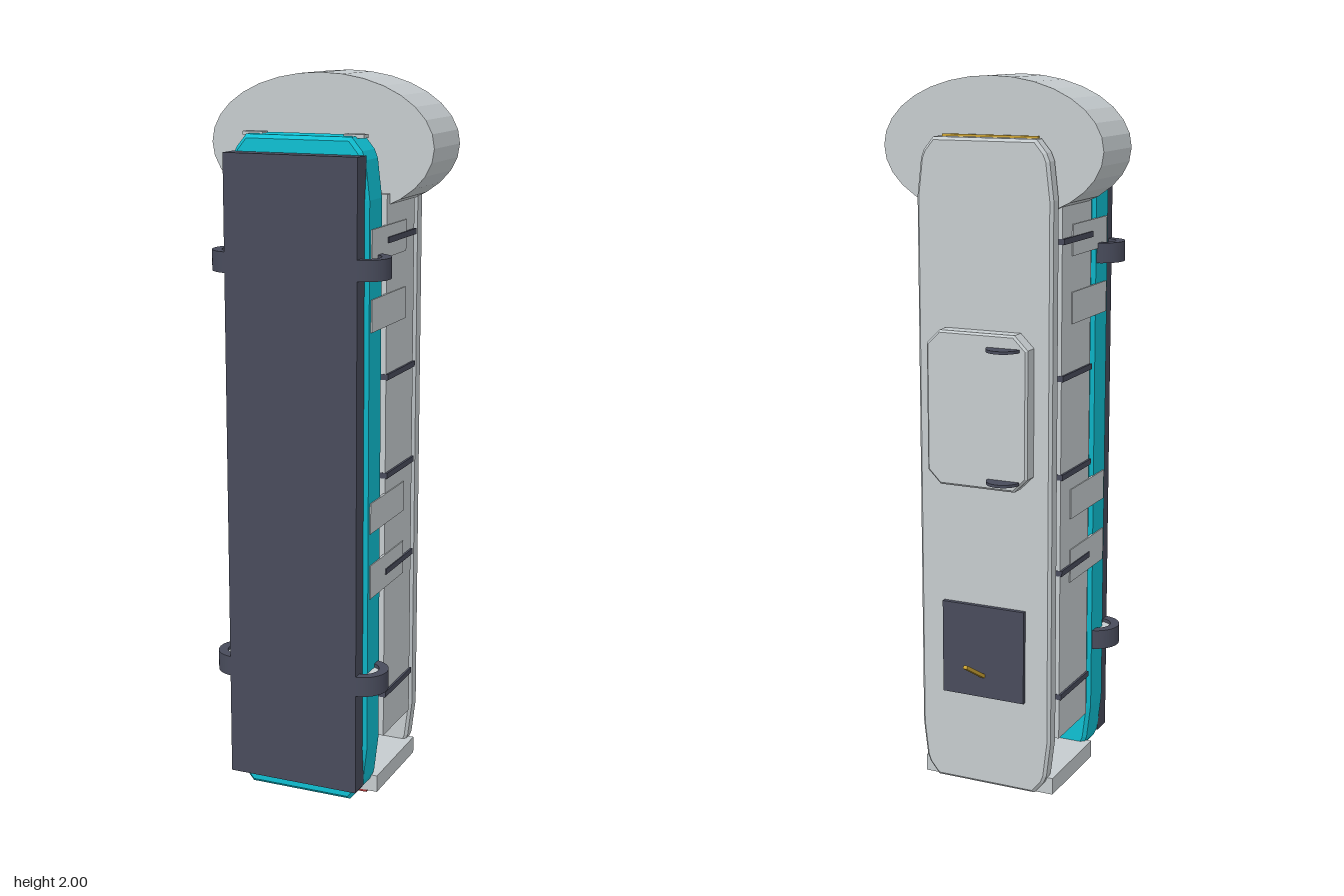
import * as THREE from 'three';

const mat = (name, color) => {
  const m = new THREE.MeshStandardMaterial({ color });
  m.name = name;
  return m;
};

export function createModel() {
  const group = new THREE.Group();
  const grey = mat('light grey', 0xc5cbce);
  const cyan = mat('cyan', 0x0fbfd2);
  const navy = mat('dark slate', 0x484b5b);
  const gold = mat('gold', 0xcda434);
  const red = mat('red', 0xa83434);
  const blue = mat('blue', 0x24a8cf);

  const add = (name, geometry, material) => {
    const mesh = new THREE.Mesh(geometry, material);
    mesh.name = name;
    group.add(mesh);
    return mesh;
  };
  // Box given by its low and high limits on each axis
  const box = (name, material, x0, x1, y0, y1, z0, z1) => {
    const mesh = add(name, new THREE.BoxGeometry(x1 - x0, y1 - y0, z1 - z0), material);
    mesh.position.set((x0 + x1) / 2, (y0 + y1) / 2, (z0 + z1) / 2);
    return mesh;
  };
  // Upright slab with cut corners and bevelled rims; cuts run from the side to the end
  const slab = (name, material, w, y0, y1, z0, z1, cuts, bevel) => {
    const cy = (y0 + y1) / 2, h = (y1 - y0) / 2;
    const corner = cuts.map(([dx, dy]) => [w - dx - bevel, h - dy - bevel]);
    const back = [...corner].reverse();
    const pts = [
      ...corner,
      ...back.map(([x, y]) => [-x, y]),
      ...corner.map(([x, y]) => [-x, -y]),
      ...back.map(([x, y]) => [x, -y]),
    ].map(([x, y]) => new THREE.Vector2(x, y));
    const geo = new THREE.ExtrudeGeometry(new THREE.Shape(pts), {
      depth: z1 - z0 - 2 * bevel, bevelEnabled: true, bevelSegments: 1,
      bevelSize: bevel, bevelThickness: bevel,
    });
    geo.translate(0, cy, z0 + bevel);
    return add(name, geo, material);
  };
  const panelCuts = [[0, 0.15], [0.012, 0.05], [0.02, 0.03], [0.045, 0]];

  // Front cover and coloured shell
  box('frontCover', navy, -0.19, 0.19, 0.06, 1.8, 0.225, 0.285);
  slab('frontShell', cyan, 0.2, 0.01, 1.845, 0.132, 0.236, panelCuts, 0.01);

  // Core body with dark seams
  box('coreBody', grey, -0.2, 0.2, 0.16, 1.69, -0.097, 0.105);
  for (const y of [0.285, 0.65, 0.925, 1.2, 1.57])
    box('bodySeam', navy, -0.206, 0.206, y - 0.008, y + 0.008, -0.098, 0.106);

  // Rear panel, hatch and switch plate
  slab('rearPanel', grey, 0.2, 0.01, 1.84, -0.163, -0.115, panelCuts, 0.008);
  slab('rearHatch', grey, 0.15, 0.9, 1.33, -0.212, -0.16, [[0, 0.035], [0.035, 0]], 0.006);
  box('switchPlate', navy, -0.125, 0.125, 0.28, 0.55, -0.176, -0.16);
  const lever = box('lever', gold, -0.006, 0.006, -0.005, 0.005, -0.065, 0.065);
  lever.position.set(0, 0.376, -0.231);
  lever.rotation.x = 0.53;
  box('topStrip', gold, -0.14, 0.14, 1.835, 1.846, -0.124, -0.115);

  // Half-round hatch grips
  for (const y of [0.927, 1.29]) {
    const grip = add('hatchGrip',
      new THREE.CylinderGeometry(0.047, 0.047, 0.008, 24, 1, false, Math.PI / 2, Math.PI), navy);
    grip.position.set(-0.081, y, -0.212);
  }

  // Oval head drum
  const drum = new THREE.CylinderGeometry(1, 1, 1, 32);
  drum.rotateX(Math.PI / 2);
  drum.scale(0.322, 0.19, 0.2);
  const flat = drum.toNonIndexed();
  flat.computeVertexNormals();
  add('headDrum', flat, grey).position.set(0, 1.81, -0.015);

  // Foot bracket
  box('footBracket', grey, -0.2, 0.2, 0.006, 0.055, -0.14, 0.15);

  // Half-ring outline in the xz plane, bulging towards +x
  const halfRing = new THREE.Shape();
  halfRing.absarc(0, 0, 0.07, -Math.PI / 2, Math.PI / 2, false);
  halfRing.absarc(0, 0, 0.044, Math.PI / 2, -Math.PI / 2, true);
  const ringGeo = new THREE.ExtrudeGeometry(halfRing, { depth: 0.056, bevelEnabled: false, curveSegments: 16 });
  ringGeo.rotateX(-Math.PI / 2);
  ringGeo.translate(0, -0.028, 0);

  // Mirrored parts
  for (const s of [-1, 1]) {
    const sideBox = (name, m, x0, x1, ...r) =>
      box(name, m, Math.min(s * x0, s * x1), Math.max(s * x0, s * x1), ...r);
    for (const y of [0.375, 1.512]) {
      const ring = add('sideLoop', ringGeo, navy);
      ring.position.set(s * 0.183, y, 0.215);
      ring.rotation.y = s > 0 ? 0 : Math.PI;
      const core = add('loopCore',
        new THREE.CylinderGeometry(0.046, 0.046, 0.036, 20, 1, false, s > 0 ? 0 : Math.PI, Math.PI), grey);
      core.position.set(s * 0.183, y, 0.215);
    }
    for (const [y0, y1] of [[0.605, 0.7], [0.79, 0.875], [1.34, 1.427], [1.525, 1.61]])
      sideBox('sideTab', grey, 0.196, 0.203, y0, y1, -0.03, 0.215);
    for (let i = 0; i < 7; i++) {
      const y = 0.29 + i * 0.17;
      sideBox('innerPad', blue, 0.075, 0.168, y - 0.035, y + 0.035, 0.117, 0.14);
    }
    sideBox('topClip', grey, 0.115, 0.173, 1.84, 1.85, 0.17, 0.2);
    sideBox('footPad', red, 0.135, 0.168, 0, 0.01, 0.06, 0.15);
  }
  return group;
}
